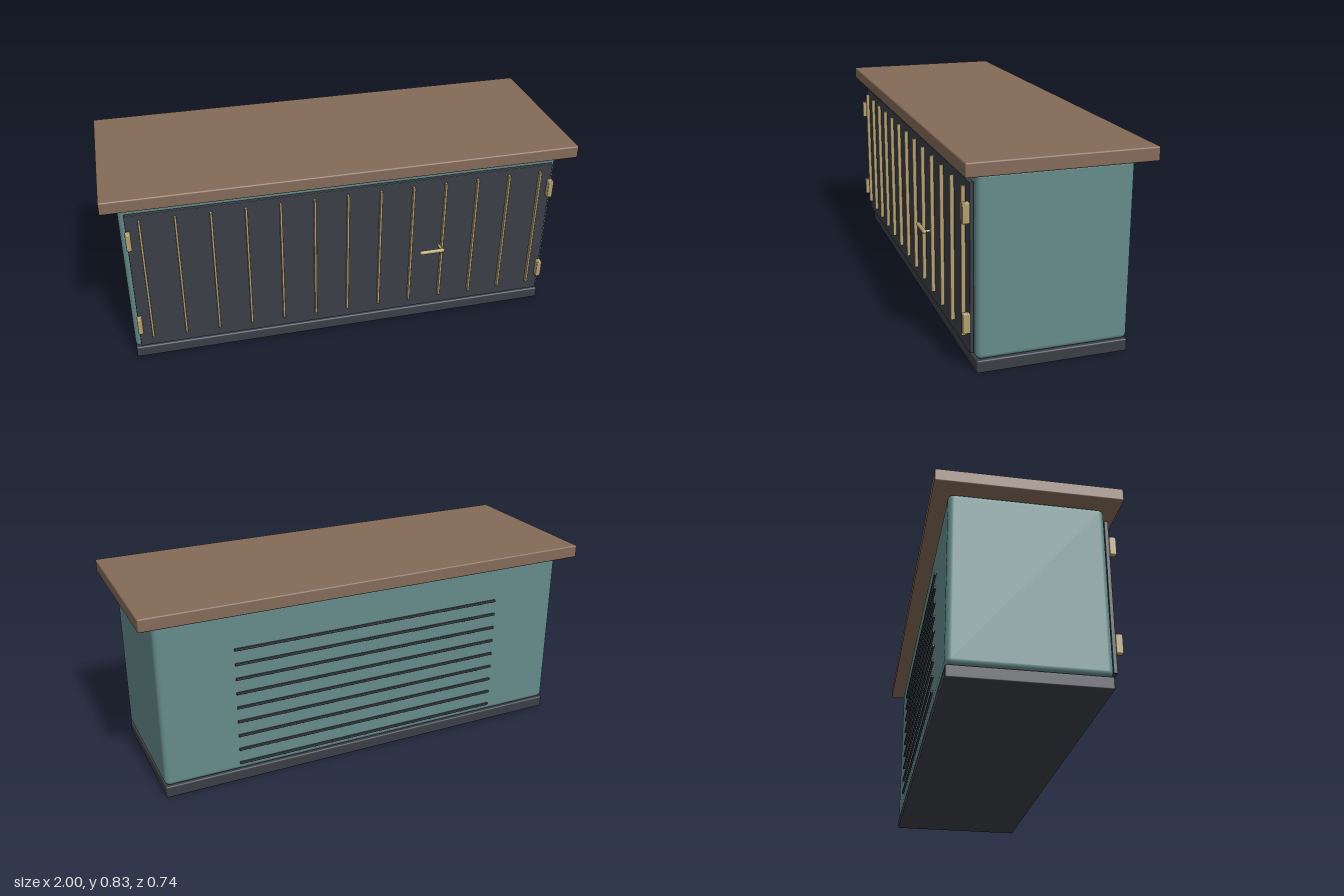
import * as THREE from 'three';
import { RoundedBoxGeometry } from 'three/addons/geometries/RoundedBoxGeometry.js';

const paint = (color) => new THREE.MeshStandardMaterial({ color });

export function createModel() {
  const model = new THREE.Group();
  const teal = paint(0x658b8b);
  const wood = paint(0x846a58);
  const dark = paint(0x3a3e45);
  const brass = paint(0xb39e70);

  // Rounded block from its min and max corners
  function block(name, material, min, max, radius, segments = 2) {
    const size = max.map((v, i) => v - min[i]);
    const mesh = new THREE.Mesh(new RoundedBoxGeometry(...size, segments, radius), material);
    mesh.position.set(...max.map((v, i) => (v + min[i]) / 2));
    mesh.name = name;
    model.add(mesh);
    return mesh;
  }

  // Cabinet carcass
  block('plinth', dark, [-0.935, 0, -0.309], [0.935, 0.051, 0.303], 0.006);
  block('body', teal, [-0.935, 0.052, -0.309], [0.935, 0.777, 0.303], 0.022, 4);
  block('worktop', wood, [-1, 0.778, -0.371], [1, 0.833, 0.365], 0.006);

  // Front panel with vertical trim strips
  block('frontPanel', dark, [-0.912, 0.076, 0.307], [0.912, 0.736, 0.323], 0.002);
  for (let i = -6; i <= 6; i++) {
    const x = i * 0.1425;
    block('trimStrip', brass, [x - 0.005, 0.125, 0.322], [x + 0.005, 0.71, 0.339], 0.002);
  }

  // Hinges at the panel's outer edges
  for (const side of [-1, 1]) {
    for (const y of [0.198, 0.624]) {
      const x = side * 0.905;
      block('hinge', brass, [x - 0.011, y - 0.04, 0.322], [x + 0.011, y + 0.04, 0.35], 0.004);
    }
  }

  // Lever handle: spindle out of the panel and a bar running sideways
  const spindle = new THREE.Mesh(new THREE.CylinderGeometry(0.006, 0.006, 0.042, 16), brass);
  spindle.rotation.x = Math.PI / 2;
  spindle.position.set(0.417, 0.39, 0.342);
  spindle.name = 'handleSpindle';
  const lever = new THREE.Mesh(new THREE.CapsuleGeometry(0.009, 0.096, 6, 16), brass);
  lever.rotation.z = Math.PI / 2;
  lever.position.set(0.373, 0.39, 0.363);
  lever.name = 'handleLever';
  model.add(spindle, lever);

  // Ventilation slats on the back
  for (let i = 0; i < 9; i++) {
    const y = 0.089 + i * 0.0653;
    block('ventSlat', dark, [-0.615, y - 0.005, -0.321], [0.615, y + 0.005, -0.312], 0.001);
  }

  return model;
}
